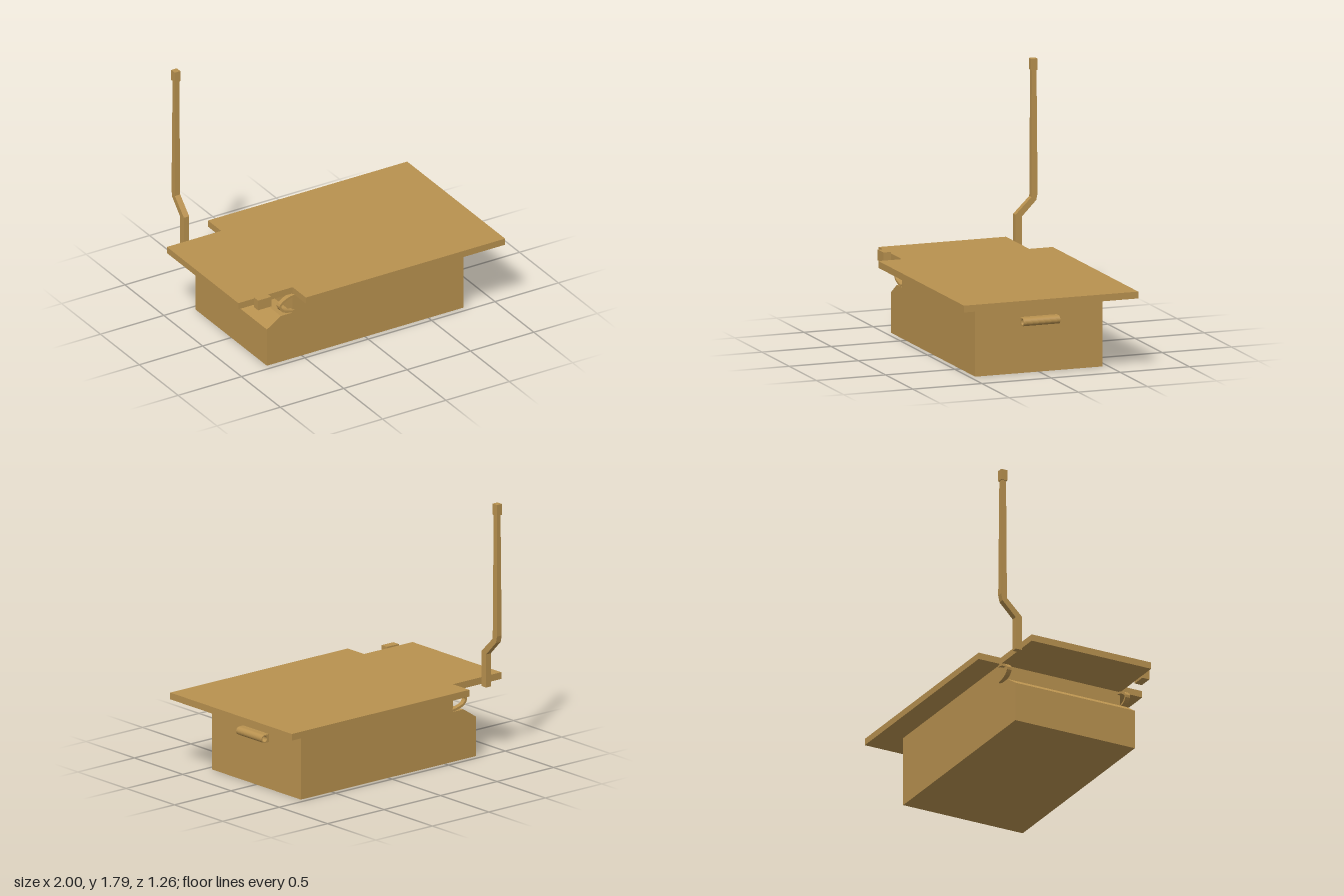
import * as THREE from 'three';

const material = new THREE.MeshStandardMaterial({ color: 0xb8914f, flatShading: true, side: THREE.DoubleSide });

function add(group, name, geometry, x = 0, y = 0, z = 0) {
  const mesh = new THREE.Mesh(geometry, material);
  mesh.name = name;
  mesh.position.set(x, y, z);
  group.add(mesh);
  return mesh;
}

const outline = (points) => new THREE.Shape(points.map(([x, y]) => new THREE.Vector2(x, y)));

// Extrusion of a shape, centred on its depth
function slab(shape, depth) {
  const geometry = new THREE.ExtrudeGeometry(shape, { depth, bevelEnabled: false, curveSegments: 12 });
  return geometry.translate(0, 0, -depth / 2);
}

export function createModel() {
  const group = new THREE.Group();

  // Box body with a stepped, sloping shelf at one end
  const body = outline([
    [-0.775, 0], [0.775, 0], [0.775, 0.5], [-0.572, 0.5],
    [-0.572, 0.35], [-0.665, 0.35], [-0.775, 0.278],
  ]);
  add(group, 'body', slab(body, 0.92));

  // Top plate with a narrower end
  const plate = outline([
    [-1, -0.46], [-0.572, -0.46], [-0.572, -0.63], [1, -0.63],
    [1, 0.63], [-0.572, 0.63], [-0.572, 0.46], [-1, 0.46],
  ]);
  add(group, 'topPlate', slab(plate, 0.047).rotateX(Math.PI / 2), 0, 0.5215, 0);

  // Curved clips on both sides: a ribbon offset either side of a curve
  const curve = new THREE.CatmullRomCurve3([
    [-0.564, 0.484], [-0.605, 0.478], [-0.65, 0.457], [-0.678, 0.43],
    [-0.66, 0.394], [-0.61, 0.374], [-0.564, 0.365],
  ].map(([x, y]) => new THREE.Vector3(x, y, 0)));
  const side = (offset) => Array.from({ length: 17 }, (_, i) => {
    const p = curve.getPoint(i / 16), t = curve.getTangent(i / 16);
    return [p.x - t.y * offset, p.y + t.x * offset];
  });
  const clip = outline([...side(0.008), ...side(-0.008).reverse()]);
  for (const s of [1, -1]) add(group, s > 0 ? 'frontClip' : 'backClip', slab(clip, 0.035), 0, 0, s * 0.456);

  // Small block on the front edge of the plate
  add(group, 'sideBlock', new THREE.BoxGeometry(0.104, 0.074, 0.055), -0.826, 0.518, 0.487);

  // Cranked lever, drawn in z and y, narrowing toward its top
  const lever = outline([
    [-0.46, 0.483], [-0.46, 0.73], [-0.576, 0.843], [-0.58, 1.72],
    [-0.614, 1.72], [-0.62, 0.867], [-0.61, 0.82], [-0.508, 0.716], [-0.508, 0.483],
  ]);
  const leverGeometry = slab(lever, 0.042).rotateY(-Math.PI / 2);
  const pos = leverGeometry.attributes.position;
  for (let i = 0; i < pos.count; i++) {
    if (pos.getY(i) > 1) pos.setX(i, pos.getX(i) * 0.76);
  }
  leverGeometry.computeVertexNormals();
  add(group, 'lever', leverGeometry, -0.845, 0, 0);
  add(group, 'leverKnob', new THREE.BoxGeometry(0.044, 0.077, 0.046), -0.846, 1.753, -0.597);

  // Hollow tube handle with a flat mount on the end wall
  const handle = new THREE.Shape();
  handle.moveTo(0.775, 0.329);
  handle.lineTo(0.812, 0.329);
  handle.absarc(0.812, 0.357, 0.028, -Math.PI / 2, Math.PI / 2, false);
  handle.lineTo(0.775, 0.385);
  const bore = new THREE.Path();
  bore.absarc(0.812, 0.357, 0.021, 0, Math.PI * 2, true);
  handle.holes.push(bore);
  add(group, 'handle', slab(handle, 0.264), 0, 0, 0.002);

  return group;
}
